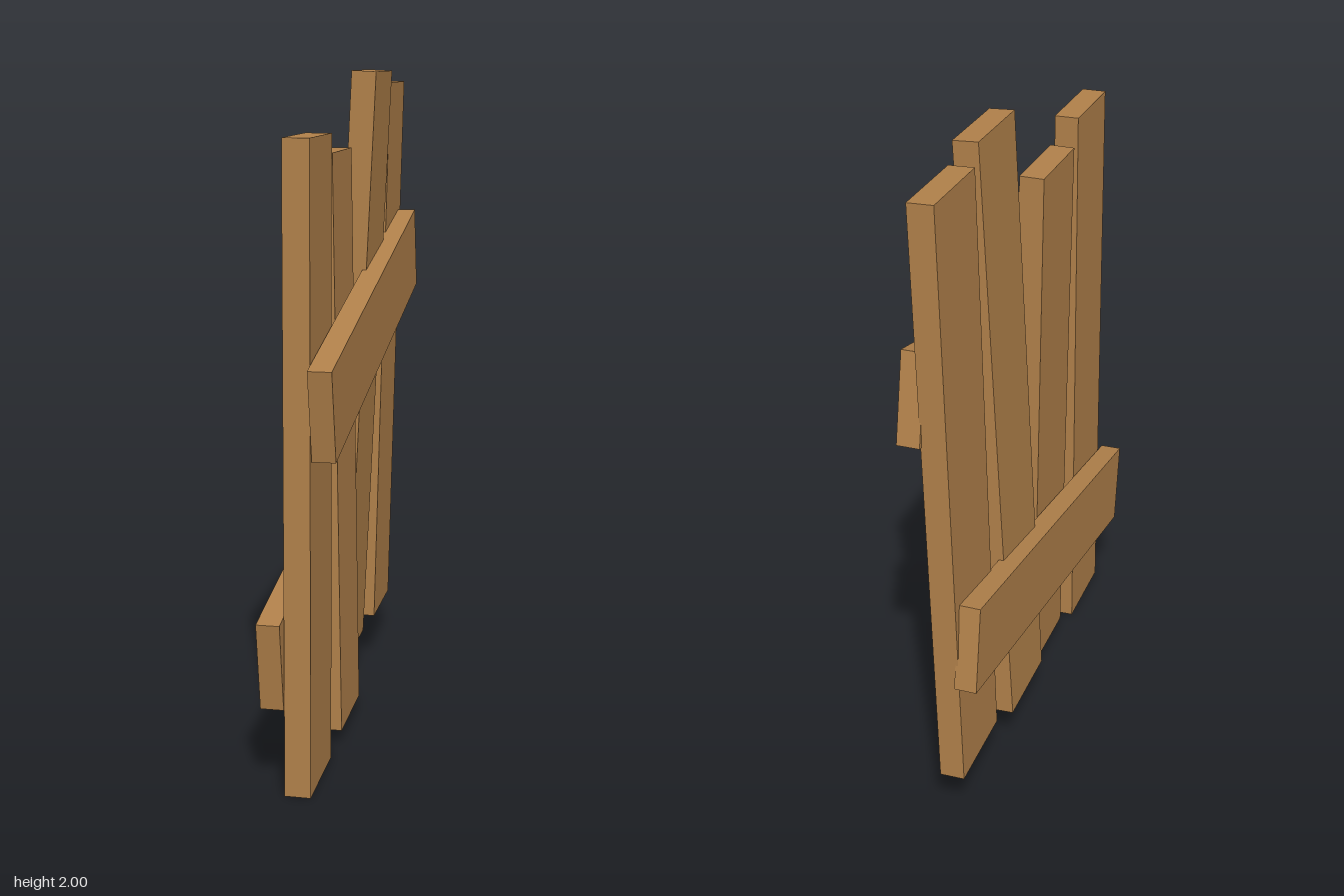
import * as THREE from 'three';

const wood = new THREE.MeshStandardMaterial({ color: 0xb0804a, flatShading: true });
const THICK = 0.075;

function board(name, w, h, d) {
  const mesh = new THREE.Mesh(new THREE.BoxGeometry(w, h, d), wood);
  mesh.name = name;
  return mesh;
}

export function createModel() {
  const fence = new THREE.Group();
  fence.name = 'fence';

  // Upright planks: z centre, lowest and highest y, x centre at the foot and at the top
  const planks = [
    [0.543, 0, 1.835, -0.003, 0.002],
    [0.163, 0.045, 1.775, 0.01, -0.016],
    [-0.207, 0.132, 2, -0.046, 0.043],
    [-0.574, 0.157, 1.96, -0.023, 0.023],
  ];
  planks.forEach(([z, y0, y1, x0, x1], i) => {
    const lean = Math.atan2(x1 - x0, y1 - y0);
    const length = (y1 - y0 - THICK * Math.abs(Math.sin(lean))) / Math.cos(lean);
    const plank = board(`plank${i + 1}`, THICK, length, 0.286);
    plank.position.set((x0 + x1) / 2, (y0 + y1) / 2, z);
    plank.rotation.z = -lean;
    fence.add(plank);
  });

  // Slanted cross rails, one on each face
  const upper = board('upperRail', 0.067, 0.265, 1.441);
  upper.position.set(0.073, 1.25, 0);
  upper.rotation.x = 0.21;

  const lower = board('lowerRail', 0.067, 0.265, 1.435);
  lower.position.set(-0.075, 0.507, 0);
  lower.rotation.x = 0.168;

  fence.add(upper, lower);
  return fence;
}
